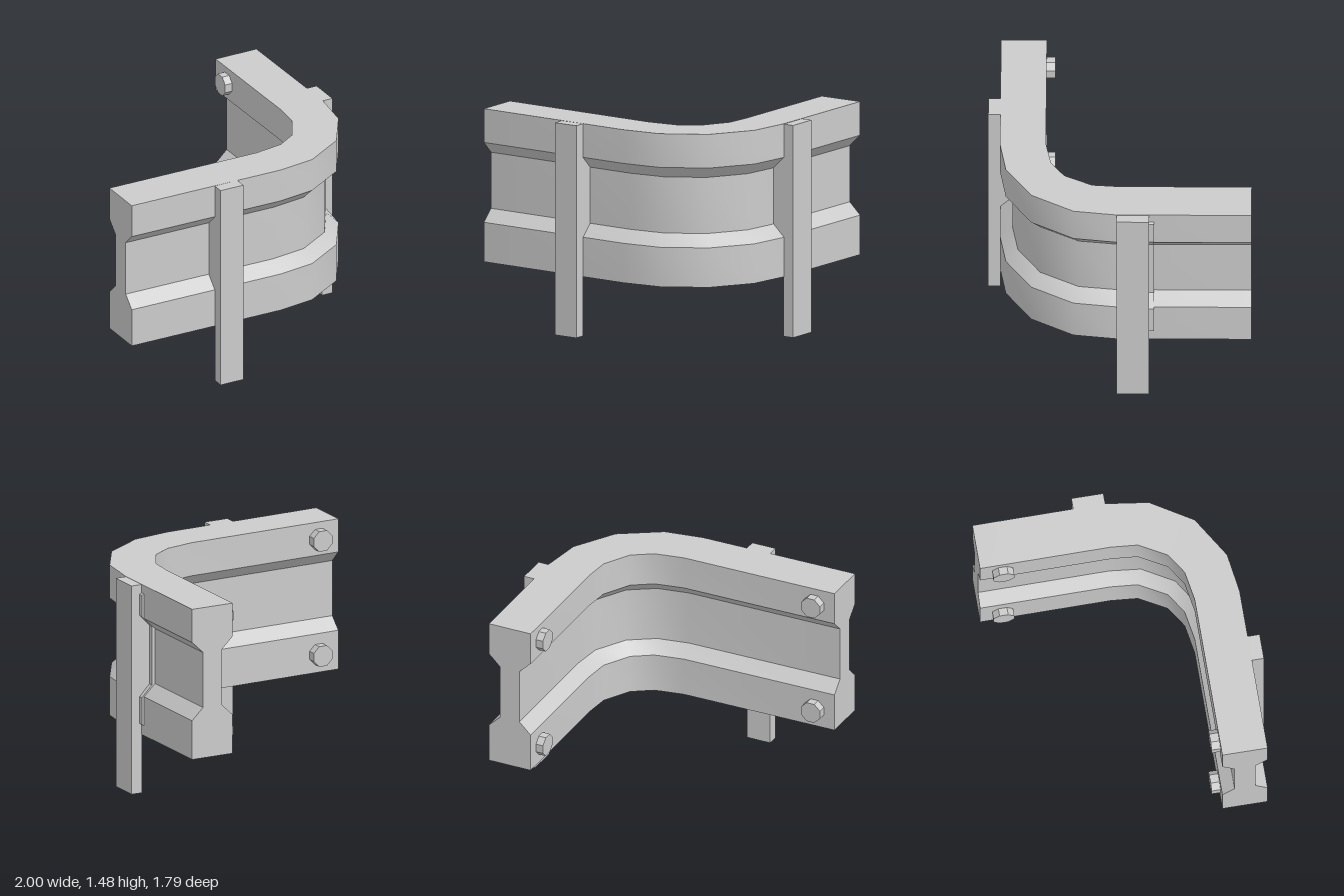
import * as THREE from 'three';
import { toCreasedNormals } from 'three/addons/utils/BufferGeometryUtils.js';

const grey = new THREE.MeshStandardMaterial({ color: 0xcccccc });

// Bend seen from above: [outer x, outer z, inner x, inner z, height shift]
const STATIONS = [
  [-1, 0.81, -1, 0.5, 0.006],
  [0.15, 0.81, 0.14, 0.5, -0.002],
  [0.42, 0.77, 0.345, 0.465, -0.004],
  [0.705, 0.595, 0.485, 0.375, -0.005],
  [0.88, 0.31, 0.59, 0.185, -0.005],
  [0.92, 0.02, 0.605, 0, -0.005],
  [0.915, -0.895, 0.6, -0.895, -0.009],
];

// I-shaped section: [0 = inner face .. 1 = outer face, height], anticlockwise
const WEB = 0.27;
const outerSide = [[1, 0.417], [1, 0.69], [1 - WEB, 0.772], [1 - WEB, 1.16], [1, 1.242], [1, 1.475]];
const SECTION = [...outerSide, ...outerSide.map(([t, y]) => [1 - t, y]).reverse()];

function mesh(name, geometry) {
  const m = new THREE.Mesh(geometry, grey);
  m.name = name;
  return m;
}

// Sweep the section through the bend and close both ends
function beamGeometry() {
  const n = SECTION.length;
  const positions = [];
  const index = [];
  for (const [ox, oz, ix, iz, dy] of STATIONS) {
    for (const [t, y] of SECTION) {
      positions.push(ix + (ox - ix) * t, y + dy, iz + (oz - iz) * t);
    }
  }
  for (let i = 0; i < STATIONS.length - 1; i++) {
    for (let j = 0; j < n; j++) {
      const a = i * n + j;
      const b = i * n + ((j + 1) % n);
      index.push(a, a + n, b, b, a + n, b + n);
    }
  }
  const last = (STATIONS.length - 1) * n;
  const contour = SECTION.map(([t, y]) => new THREE.Vector2(t, y));
  for (const [a, b, c] of THREE.ShapeUtils.triangulateShape(contour, [])) {
    index.push(a, b, c, last + a, last + c, last + b);
  }
  const g = new THREE.BufferGeometry();
  g.setAttribute('position', new THREE.Float32BufferAttribute(positions, 3));
  g.setIndex(index);
  return toCreasedNormals(g, 0.6);
}

function extrudeProfile(points, depth) {
  const shape = new THREE.Shape(points.map(([x, y]) => new THREE.Vector2(x, y)));
  return new THREE.ExtrudeGeometry(shape, { depth, bevelEnabled: false });
}

// Post whose back fills the recess of the beam; x is measured out from the beam
function postGeometry(width, bottom, top, thickness) {
  return extrudeProfile([
    [thickness, bottom], [thickness, top], [0, top], [0, 1.24],
    [-0.083, 1.16], [-0.083, 0.77], [0, 0.69], [0, bottom],
  ], width);
}

export function createModel() {
  const group = new THREE.Group();
  group.name = 'cornerBarrier';
  group.add(mesh('beam', beamGeometry()));

  const frontPost = mesh('frontPost', postGeometry(0.175, 0.008, 1.475, 0.082));
  frontPost.rotation.y = -Math.PI / 2;
  frontPost.position.set(-0.182, 0, 0.81);
  group.add(frontPost);

  const sidePost = mesh('sidePost', postGeometry(0.22, 0, 1.467, 0.08));
  sidePost.position.set(0.916, 0, -0.203);
  group.add(sidePost);

  // Thin lip that follows the recess behind the side post
  const lip = mesh('sidePostLip', extrudeProfile([
    [0, 0.48], [0.018, 0.49], [0.018, 0.68], [-0.058, 0.76], [-0.058, 1.17], [0.018, 1.25],
    [0.018, 1.4], [0, 1.41], [-0.01, 1.41], [-0.01, 1.24], [-0.09, 1.16], [-0.09, 0.77],
    [-0.01, 0.69], [-0.01, 0.48],
  ], 0.04));
  lip.position.set(0.916, 0, -0.236);
  group.add(lip);

  // Bolt heads on the inner faces, near both ends
  const bolt = new THREE.CylinderGeometry(0.077, 0.077, 0.08, 8).toNonIndexed();
  bolt.rotateY(Math.PI / 8);
  bolt.computeVertexNormals();
  for (const y of [0.55, 1.36]) {
    const front = mesh('frontBolt', bolt);
    front.rotation.x = Math.PI / 2;
    front.position.set(-0.848, y, 0.48);
    const side = mesh('sideBolt', bolt);
    side.rotation.z = Math.PI / 2;
    side.position.set(0.588, y - 0.01, -0.74);
    group.add(front, side);
  }
  return group;
}
